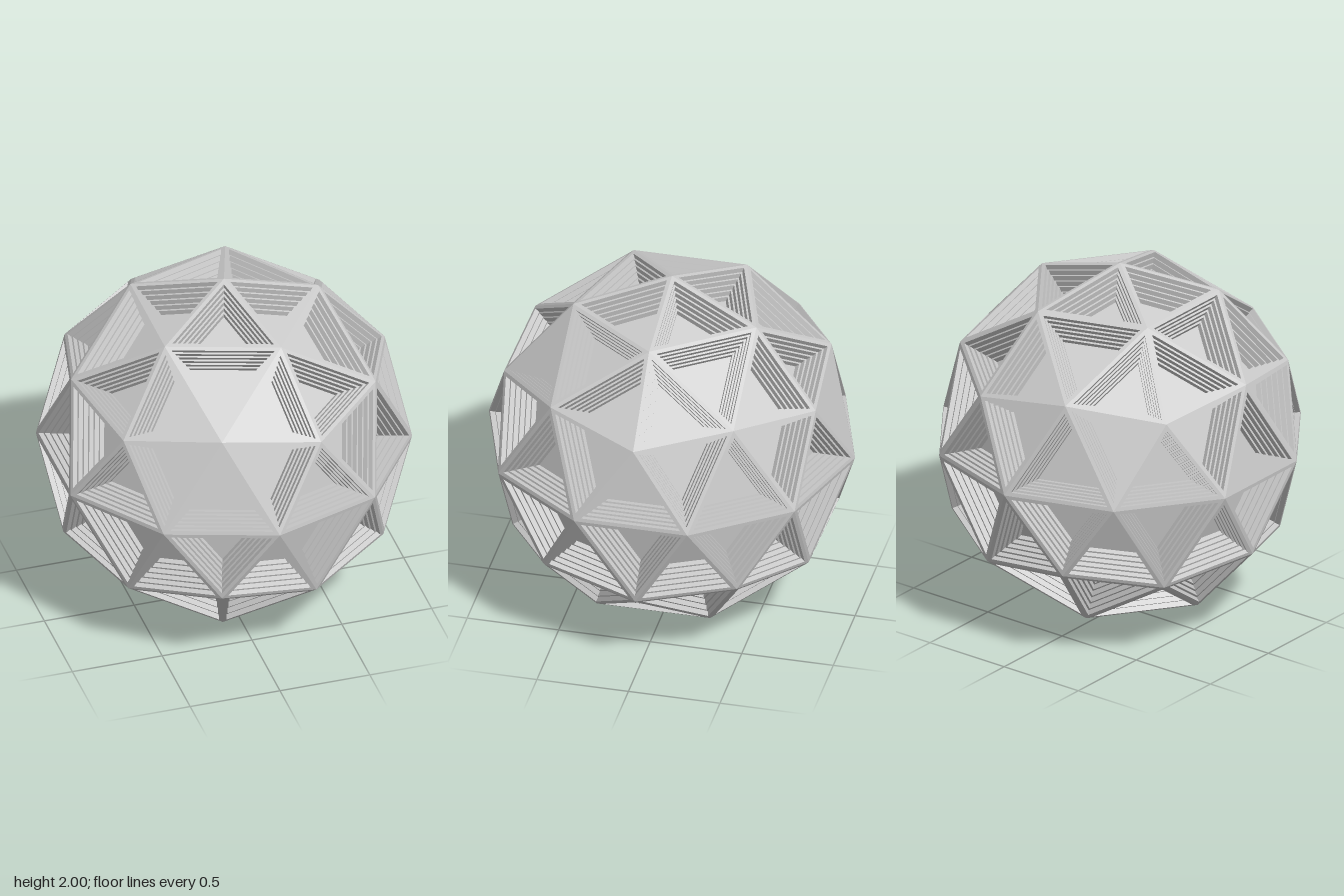
import * as THREE from 'three';

const RIM = 0.021;     // width of the strut half on each panel
const STEPS = 6;       // terraces in each recess
const TREAD = 0.0105;
const RISER = 0.028;

// Two-frequency geodesic sphere with a five-fold axis along y
function geodesicSphere() {
  const verts = [0, 1, 0], faces = [];
  const y = 1 / Math.sqrt(5), r = 2 * y;
  for (const [h, shift] of [[y, 0], [-y, 0.5]]) {
    for (let i = 0; i < 5; i++) {
      const a = (i + shift) * Math.PI * 2 / 5;
      verts.push(r * Math.cos(a), h, r * Math.sin(a));
    }
  }
  verts.push(0, -1, 0);
  for (let i = 0; i < 5; i++) {
    const u = 1 + i, u2 = 1 + (i + 1) % 5, l = u + 5, l2 = u2 + 5;
    faces.push(0, u2, u, u, u2, l, u2, l2, l, 11, l, l2);
  }
  return new THREE.PolyhedronGeometry(verts, faces, 1, 1);
}

function addQuads(out, a, b) {
  for (let i = 0; i < 3; i++) {
    const j = (i + 1) % 3;
    for (const p of [a[i], a[j], b[j], a[i], b[j], b[i]]) out.push(p.x, p.y, p.z);
  }
}

function makeMesh(name, positions, material) {
  const geo = new THREE.BufferGeometry();
  geo.setAttribute('position', new THREE.Float32BufferAttribute(positions, 3));
  geo.computeVertexNormals();
  const mesh = new THREE.Mesh(geo, material);
  mesh.name = name;
  return mesh;
}

export function createModel() {
  const struts = [], terraces = [], floors = [];
  const pos = geodesicSphere().getAttribute('position');

  for (let f = 0; f < pos.count; f += 3) {
    const tri = [0, 1, 2].map(i => new THREE.Vector3().fromBufferAttribute(pos, f + i));
    const normal = new THREE.Triangle(...tri).getNormal(new THREE.Vector3());

    // Incentre and inradius, so each inset keeps an even width
    const side = tri.map((_, i) => tri[(i + 1) % 3].distanceTo(tri[(i + 2) % 3]));
    const perimeter = side[0] + side[1] + side[2];
    const centre = new THREE.Vector3();
    tri.forEach((p, i) => centre.addScaledVector(p, side[i] / perimeter));
    const inradius = 2 * new THREE.Triangle(...tri).getArea() / perimeter;
    const loop = (inset, depth) => tri.map(p =>
      p.clone().lerp(centre, inset / inradius).addScaledVector(normal, -depth));

    // Outer strut faces
    let current = loop(RIM, 0);
    addQuads(struts, tri, current);

    // Terraces: a riser down, then a tread inward
    for (let s = 1; s <= STEPS; s++) {
      const foot = loop(RIM + (s - 1) * TREAD, s * RISER);
      addQuads(terraces, current, foot);
      current = loop(RIM + s * TREAD, s * RISER);
      addQuads(terraces, foot, current);
    }

    // Recess floor
    for (const p of current) floors.push(p.x, p.y, p.z);
  }

  const material = new THREE.MeshStandardMaterial({ color: 0xcccccc, flatShading: true });
  const group = new THREE.Group();
  group.name = 'terracedGeodesicSphere';
  group.add(
    makeMesh('struts', struts, material),
    makeMesh('terraces', terraces, material),
    makeMesh('recessFloors', floors, material)
  );
  group.position.y = 1;
  return group;
}
